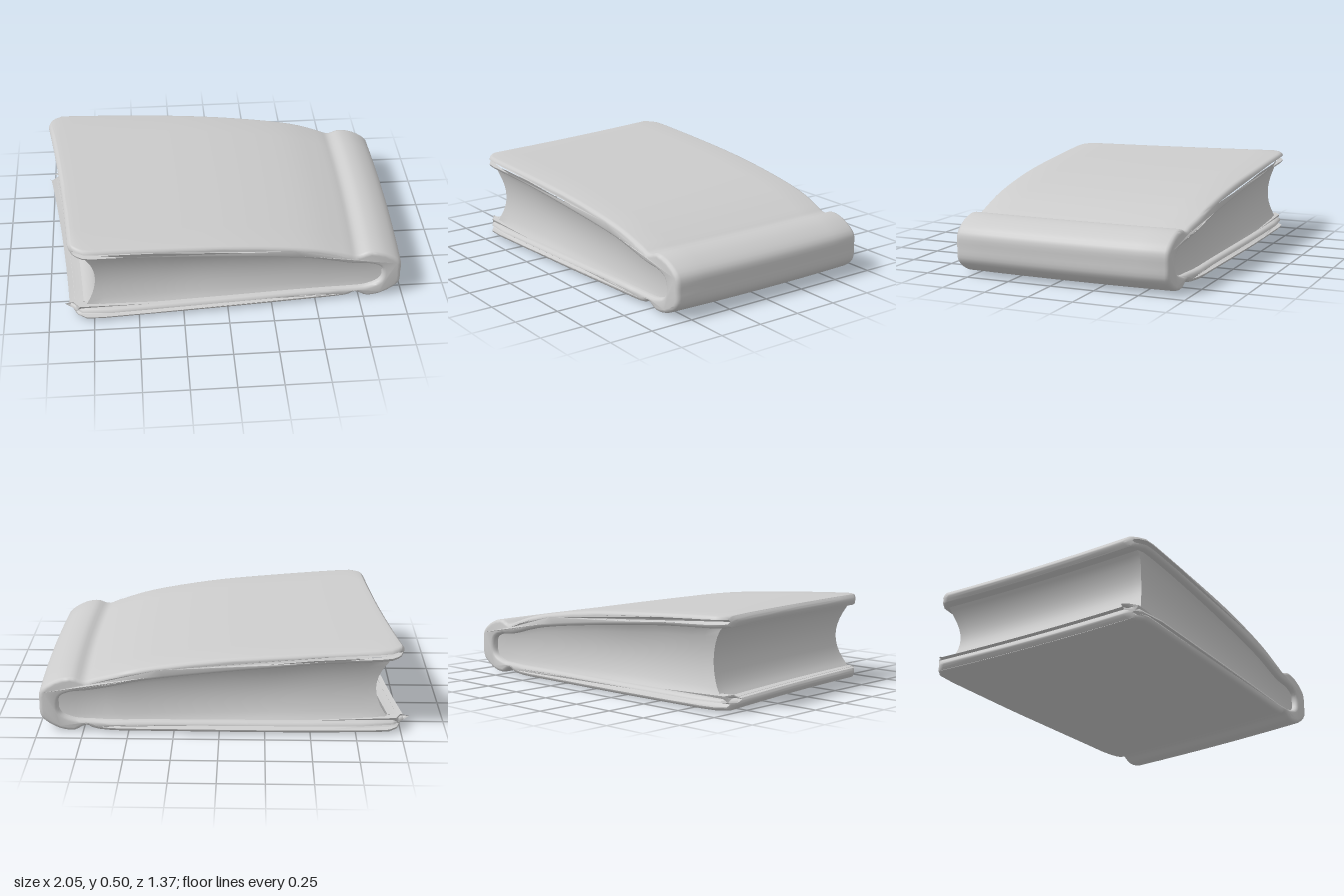
import * as THREE from 'three';
import { toCreasedNormals } from 'three/addons/utils/BufferGeometryUtils.js';

const lerp = THREE.MathUtils.lerp;
const clamp = THREE.MathUtils.clamp;

// Value at x of a polyline given as [x, value] pairs with rising x
function along(points, x) {
  for (let i = 1; i < points.length; i++) {
    const [x0, a] = points[i - 1], [x1, b] = points[i];
    if (x <= x1) return lerp(a, b, clamp((x - x0) / (x1 - x0), 0, 1));
  }
  return points[points.length - 1][1];
}

// Plan outline: long edges of the cover, and its clipped fore-edge corners
const frontEdge = [[-1, 0.69], [-0.85, 0.682], [0, 0.632], [0.65, 0.588], [1, 0.578]];
const backEdge = [[-1, -0.675], [-0.3, -0.688], [0.58, -0.682], [0.7, -0.664], [1, -0.66]];
const clip = (x) => 0.085 * Math.pow(clamp((-0.88 - x) / 0.12, 0, 1), 2);
const zAt = (x, s, inset = 0) => lerp(
  along(backEdge, x) + clip(x) + inset,
  along(frontEdge, x) - clip(x) - inset, (s + 1) / 2);

// Skews the fore edge and bows the spine slightly
function skew(x, z) {
  const w = clamp((0.7 - x) / 1.7, 0, 1);
  return x + w * (0.07 + 0.121 * z) + 0.005 - 0.04 * (z + 0.1) ** 2;
}

// Underside of the top board, from fore edge to spine
const underTop = [[-0.98, 0.442], [-0.9, 0.435], [-0.5, 0.415], [0, 0.368],
  [0.42, 0.315], [0.7, 0.25], [0.82, 0.235]];

function coverGeometry() {
  const v = (list) => list.map(([x, y]) => new THREE.Vector2(x, y));
  const shape = new THREE.Shape();
  shape.moveTo(-0.98, 0.02);
  // Outside: bottom board, hinge, spine, hinge, top board
  shape.splineThru(v([[-0.9, 0.014], [-0.3, 0.012], [0.3, 0.012], [0.66, 0.014],
    [0.74, 0.036], [0.81, 0.005], [0.9, 0.02], [0.985, 0.08], [0.995, 0.16],
    [0.985, 0.245], [0.9, 0.305], [0.81, 0.323], [0.74, 0.302], [0.66, 0.328],
    [0.42, 0.39], [0, 0.447], [-0.5, 0.482], [-0.9, 0.502], [-0.98, 0.503]]));
  shape.splineThru(v([[-1, 0.475], [-0.98, 0.442]]));
  // Inside, back round to the bottom board
  shape.splineThru(v([...underTop.slice(1), [0.885, 0.2], [0.885, 0.12],
    [0.82, 0.08], [0.7, 0.07], [0.3, 0.075], [-0.9, 0.078], [-0.98, 0.08]]));
  shape.splineThru(v([[-1, 0.05], [-0.98, 0.02]]));

  const geo = new THREE.ExtrudeGeometry(shape, {
    depth: 1.25, steps: 8, curveSegments: 4,
    bevelEnabled: true, bevelThickness: 0.025, bevelSize: 0.02,
    bevelOffset: -0.02, bevelSegments: 3,
  });
  const p = geo.attributes.position;
  for (let i = 0; i < p.count; i++) {
    const x = p.getX(i);
    const z = zAt(x, (p.getZ(i) - 0.625) / 0.65);
    p.setX(i, skew(x, z));
    p.setZ(i, z);
  }
  return toCreasedNormals(geo, 0.8);
}

// Page block: a wall running back, fore edge, front, hollowed at mid height
function pagesGeometry() {
  const geo = new THREE.PlaneGeometry(1, 1, 60, 12);
  const p = geo.attributes.position;
  const uv = geo.attributes.uv;
  for (let i = 0; i < p.count; i++) {
    const u = uv.getX(i) * 3, v = uv.getY(i);
    const hollow = Math.pow(Math.max(0, Math.sin(Math.PI * v)), 0.7);
    const fore = -0.95 + 0.1 * hollow;
    let x = fore, s;
    if (u <= 1) { x = lerp(0.89, fore, u); s = -1; }
    else if (u < 2) s = (u - 1.5) * 2;
    else { x = lerp(fore, 0.89, u - 2); s = 1; }
    const open = clamp((0.9 - x) / 1.2, 0, 1);
    const inset = 0.028 + (0.01 + 0.042 * open) * hollow;
    const z = zAt(x, s, inset);
    p.setXYZ(i, skew(x, z), lerp(0.06, along(underTop, x) + 0.018, v), z);
  }
  return toCreasedNormals(geo, 0.9);
}

export function createModel() {
  const group = new THREE.Group();
  group.name = 'book';
  const grey = new THREE.MeshStandardMaterial({ color: 0xcccccc });
  grey.name = 'light grey';

  const cover = new THREE.Mesh(coverGeometry(), grey);
  cover.name = 'cover';
  const pages = new THREE.Mesh(pagesGeometry(), grey);
  pages.name = 'pages';
  group.add(cover, pages);
  return group;
}
